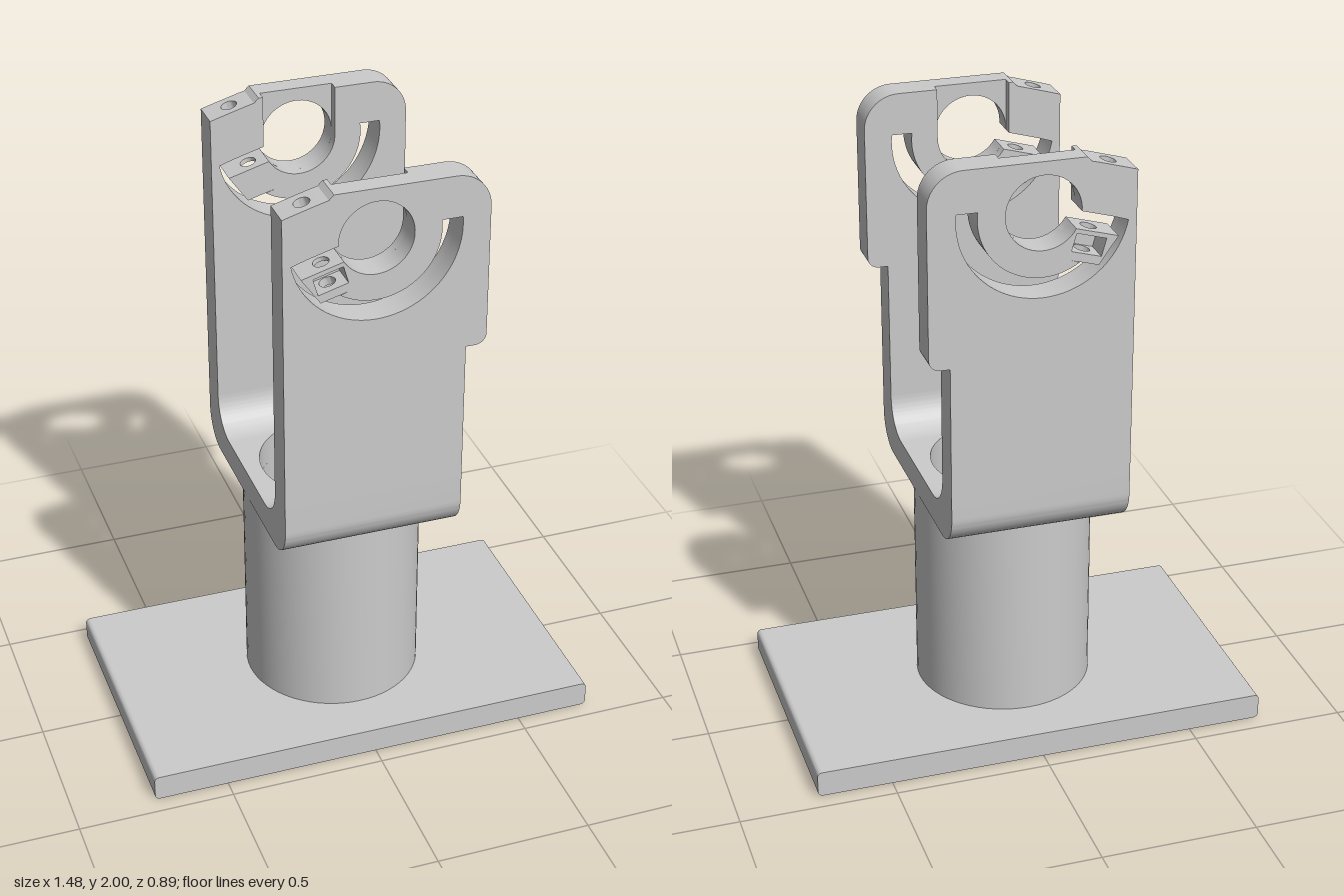
import * as THREE from 'three';
import { toCreasedNormals } from 'three/addons/utils/BufferGeometryUtils.js';

const material = new THREE.MeshStandardMaterial({ color: 0xcccccc });
const HALF = 0.285, BORE = 0.23, FLOOR = 0.775, WALL = 0.975; // bracket half width, bore, floor underside, wall start
const IN = 0.3, STEP = 0.333, OUT = 0.4;                       // wall depths: inner face, recess floor, outer face
const CY = 1.843;                                              // clamp hole height
const TILT = THREE.MathUtils.degToRad(16);

// Tilted clamp frame: u runs along the slit, v runs down the screw axis
const E = new THREE.Vector3(Math.cos(TILT), Math.sin(TILT), 0);
const D = new THREE.Vector3(Math.sin(TILT), -Math.cos(TILT), 0);
const P = (u, v) => [-0.21 + u * E.x + v * D.x, 1.967 + u * E.y + v * D.y];

// Points on an arc, angles in degrees
function arc(cx, cy, r, from, to, n = 32) {
  return Array.from({ length: n + 1 }, (_, i) => {
    const a = THREE.MathUtils.degToRad(from + (to - from) * i / n);
    return [cx + r * Math.cos(a), cy + r * Math.sin(a)];
  });
}

const shapeOf = pts => new THREE.Shape(pts.map(p => new THREE.Vector2(...p)));
const extrude = (shape, depth) => new THREE.ExtrudeGeometry(shape, { depth, bevelEnabled: false, curveSegments: 32 });
const rect = (x0, x1, y0, y1) => shapeOf([[x0, y0], [x1, y0], [x1, y1], [x0, y1]]);

function add(parent, name, geometry) {
  const mesh = new THREE.Mesh(toCreasedNormals(geometry, 0.5), material);
  mesh.name = name;
  parent.add(mesh);
}

// Flat layer between depths a and b on side s (+1 front, -1 back)
const layer = (pts, a, b, s) => extrude(shapeOf(pts), b - a).translate(0, 0, s > 0 ? a : -b);

// Block in the clamp frame, drilled along the screw axis
function drilled(u0, u1, v0, v1, s) {
  const shape = rect(u0, u1, s * 0.35 - 0.05, s * 0.35 + 0.05);
  shape.holes.push(new THREE.Path().absarc(0, s * 0.35, 0.025, 0, Math.PI * 2, true));
  const m = new THREE.Matrix4().makeBasis(E, new THREE.Vector3(0, 0, 1), D);
  m.setPosition(...P(0, 0), 0);
  return extrude(shape, v1 - v0).translate(0, 0, v0).applyMatrix4(m);
}

// Base plate with softened short ends and a round bore
function addBase(root) {
  const base = new THREE.Group();
  base.name = 'base';
  const x0 = 0.725, r = 0.015, h = 0.085, z = 0.443;
  const plate = rect(-x0, x0, -z, z);
  plate.holes.push(new THREE.Path().absarc(0, 0, BORE, 0, Math.PI * 2, true));
  add(base, 'basePlate', extrude(plate, h).rotateX(-Math.PI / 2));
  for (const s of [1, -1]) {
    const edge = [[x0, 0], ...arc(x0, r, r, -90, 0, 6), ...arc(x0, h - r, r, 0, 90, 6)]
      .slice(1).map(([x, y]) => [s * x, y]);
    add(base, 'basePlateEnd', extrude(shapeOf(edge), 2 * z).translate(0, 0, -z));
  }
  root.add(base);
}

// Bracket floor: cross-sections swept from the round bore out to a rectangle
function floorGeometry() {
  const hz = 0.26, n = 20, k = 6, corners = [[1, -1], [1, 1], [-1, 1], [-1, -1]];
  const top = z => {
    const d = Math.max(0, Math.abs(z) - 0.19);
    return 0.975 - Math.sqrt(0.11 * 0.11 - d * d);
  };
  const pos = [], index = [];
  corners.forEach((c, q) => {
    const next = corners[(q + 1) % 4];
    for (let i = 0; i < n; i++) {
      const t = i / n;
      const X = HALF * (c[0] + (next[0] - c[0]) * t), Z = hz * (c[1] + (next[1] - c[1]) * t);
      const l = BORE / Math.hypot(X, Z);
      for (let j = 0; j <= k; j++) {
        const f = l + (1 - l) * j / k;
        pos.push(X * f, top(Z * f), Z * f);
      }
      pos.push(X, FLOOR, Z, X * l, FLOOR, Z * l);
    }
  });
  const m = k + 3, count = 4 * n;
  for (let i = 0; i < count; i++) for (let j = 0; j < m; j++) {
    const i2 = (i + 1) % count, j2 = (j + 1) % m;
    const a = i * m + j, b = i2 * m + j, c = i * m + j2, d = i2 * m + j2;
    index.push(a, b, c, b, d, c);
  }
  const g = new THREE.BufferGeometry();
  g.setAttribute('position', new THREE.Float32BufferAttribute(pos, 3));
  g.setIndex(index);
  return g;
}

// Rounded corner joining the floor to a wall
function bendGeometry(s) {
  const start = -THREE.MathUtils.radToDeg(Math.acos(0.07 / 0.11));
  const pts = [...arc(0.19, WALL, 0.11, start, 0, 16), [OUT, WALL],
    ...arc(0.29, 0.885, 0.11, 0, -90, 20), [0.26, FLOOR]];
  return extrude(shapeOf(pts.map(([z, y]) => [s * z, y])), 2 * HALF)
    .rotateY(-Math.PI / 2).translate(HALF, 0, 0);
}

// Upright wall with split clamp ring, curved relief slot and screw lugs
function addWall(root, s) {
  const wall = new THREE.Group();
  wall.name = s > 0 ? 'frontWall' : 'backWall';
  const lip = s > 0 ? 1.433 : 1.387;
  const side = [[-HALF, WALL], [HALF, WALL], [HALF, lip],
    ...arc(0.315, lip + 0.035, 0.035, -90, 0, 8), ...arc(0.24, 1.89, 0.11, 0, 90, 20)];
  const slot = [P(0.05, 0.207), P(0.05, 0.305), ...arc(0, CY, 0.2, 236.3, 367.1),
    ...arc(0, CY, 0.264, 5.4, -169, 40), P(-0.045, 0.152), P(-0.045, 0), [-HALF, 1.945]];
  const earTop = [[-0.13, 2], [-0.145, 1.985], P(0.045, 0), P(0.045, 0.152), P(0.054, 0.152)];

  add(wall, 'outerWallLayer', layer([...side, ...earTop, ...arc(0, CY, 0.116, 183.5, -149, 48), ...slot], STEP, OUT, s));
  // Inner layer is open above the hole, as a drop-in recess
  add(wall, 'innerWallLayer', layer([...side, [0.116, 2], ...arc(0, CY, 0.116, 0, -149, 28), ...slot], IN, STEP, s));
  add(wall, 'innerEarEdge', layer([[-0.116, 2], ...earTop], IN, STEP, s));

  // Upper ear and lower lug, with a nut pocket open to the outside
  add(wall, 'upperEar', drilled(-0.045, 0.045, 0, 0.152, s));
  add(wall, 'lugTop', drilled(-0.046, 0.05, 0.207, 0.221, s));
  add(wall, 'lugBottom', drilled(-0.046, 0.05, 0.278, 0.305, s));
  add(wall, 'lugTip', layer([P(-0.08, 0.207), P(-0.046, 0.207), P(-0.046, 0.305)], IN, OUT, s));
  add(wall, 'nutPocketFloor', layer([P(-0.046, 0.221), P(0.05, 0.221), P(0.05, 0.278), P(-0.046, 0.278)], IN, 0.32, s));
  root.add(wall);
}

export function createModel() {
  const root = new THREE.Group();
  root.name = 'clampStand';
  addBase(root);

  // Hollow column
  const profile = [[0.285, 0.085], [0.285, FLOOR], [BORE, FLOOR], [BORE, 0.085]];
  add(root, 'column', new THREE.LatheGeometry(profile.map(p => new THREE.Vector2(...p)), 64));

  // U-shaped bracket
  const bracket = new THREE.Group();
  bracket.name = 'bracket';
  add(bracket, 'bracketFloor', floorGeometry());
  for (const s of [1, -1]) {
    add(bracket, 'bracketBend', bendGeometry(s));
    addWall(bracket, s);
  }
  root.add(bracket);
  return root;
}
